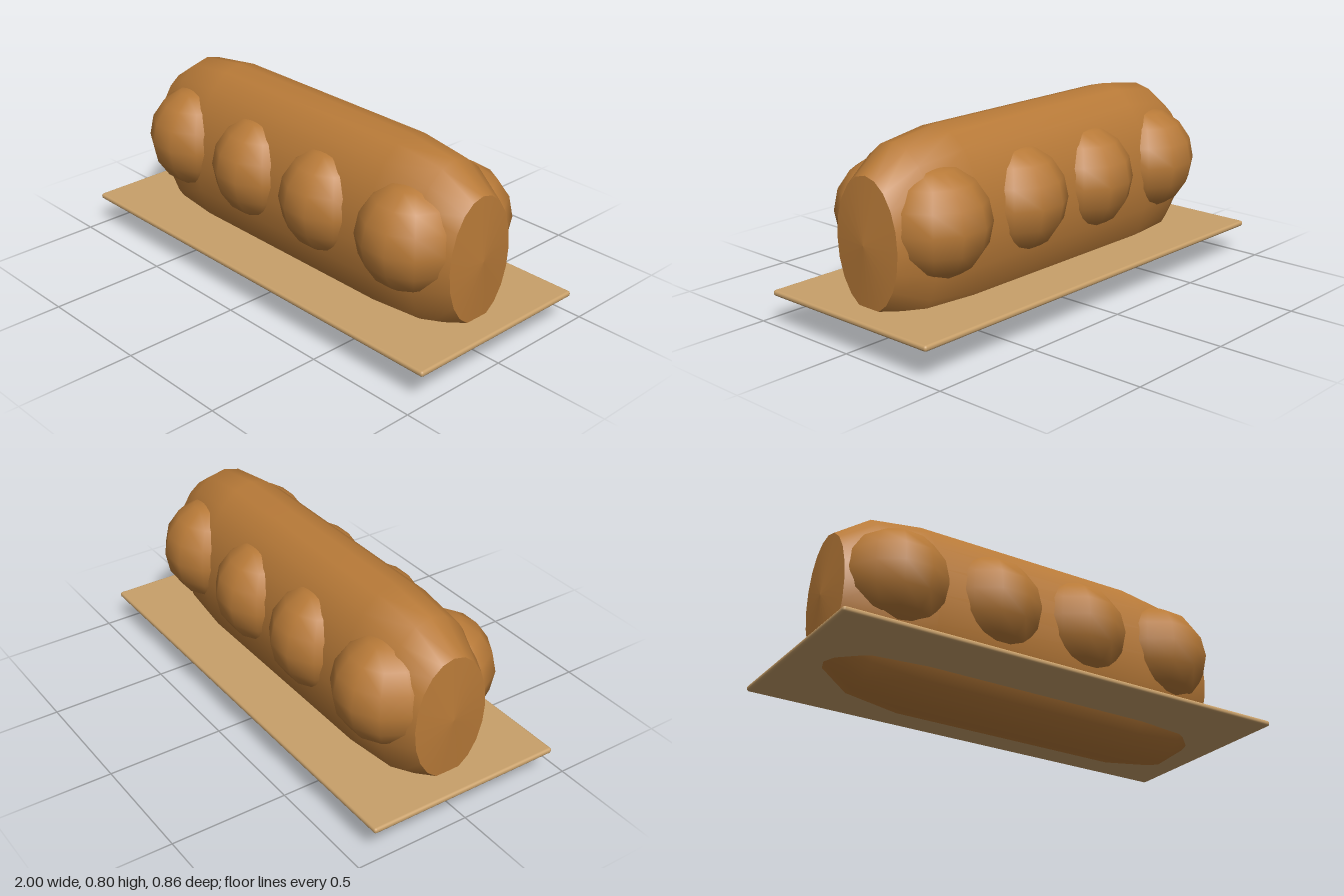
import * as THREE from 'three';
import { RoundedBoxGeometry } from 'three/addons/geometries/RoundedBoxGeometry.js';

// Lathe lying along x, squeezed to an upright oval section
function ovalLathe(profile) {
  const geo = new THREE.LatheGeometry(profile.map(([r, x]) => new THREE.Vector2(r, x)), 20);
  geo.rotateZ(-Math.PI / 2);
  geo.scale(1, 0.4, 0.25);
  return geo;
}

export function createModel() {
  const crust = new THREE.MeshStandardMaterial({ color: 0xb87a38 });
  crust.name = 'crust';
  const wood = new THREE.MeshStandardMaterial({ color: 0xc8a06a });
  wood.name = 'board';

  const model = new THREE.Group();
  model.name = 'braidedLoaf';
  const add = (name, geo, mat, x, y, z) => {
    const mesh = new THREE.Mesh(geo, mat);
    mesh.name = name;
    mesh.position.set(x, y, z);
    model.add(mesh);
    return mesh;
  };

  // Long oval loaf with tapered ends
  add('loafBody', ovalLathe([
    [0.67, -0.88], [0.92, -0.735], [1, -0.51], [1, 0.51], [0.92, 0.735], [0.67, 0.88],
  ]), crust, 0, 0.402, 0);

  // Shallow cones closing the ends with a crisp edge
  add('rightEnd', ovalLathe([[0, -0.9], [0.67, -0.88]]), crust, 0, 0.402, 0);
  add('leftEnd', ovalLathe([[0.67, 0.88], [0, 0.9]]), crust, 0, 0.402, 0);

  // Rows of rounded braid bumps on the front and back
  const bump = new THREE.SphereGeometry(0.228, 12, 8);
  bump.rotateY(Math.PI / 12);
  for (const side of [1, -1]) {
    for (const x of [-0.645, -0.213, 0.207, 0.642]) {
      add(side > 0 ? 'frontBump' : 'backBump', bump, crust, x, 0.463, side * 0.114);
    }
  }

  // Thin board around the lower part of the loaf
  add('board', new RoundedBoxGeometry(2, 0.024, 0.86, 2, 0.011), wood, 0, 0.138, 0);

  return model;
}
